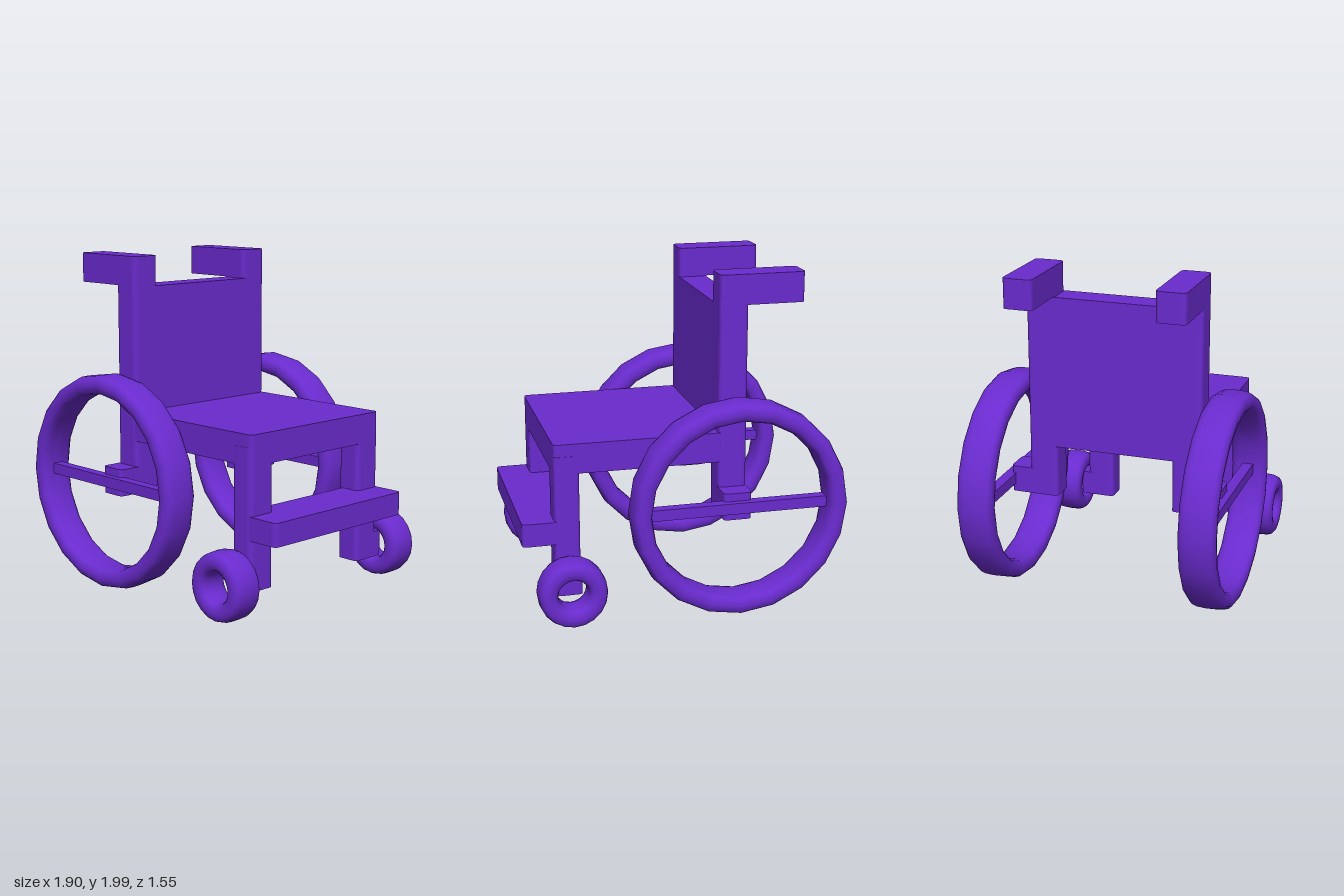
import * as THREE from 'three';

const purple = new THREE.MeshStandardMaterial({ color: 0x6a2bce });
purple.name = 'purple';

// Block given by its limits, with rounded upright edges
function block(name, [x0, x1], [y0, y1], [z0, z1], r = 0.03) {
  const s = new THREE.Shape();
  const a = -z1, b = -z0;
  s.moveTo(x0 + r, a);
  s.lineTo(x1 - r, a);
  s.quadraticCurveTo(x1, a, x1, a + r);
  s.lineTo(x1, b - r);
  s.quadraticCurveTo(x1, b, x1 - r, b);
  s.lineTo(x0 + r, b);
  s.quadraticCurveTo(x0, b, x0, b - r);
  s.lineTo(x0, a + r);
  s.quadraticCurveTo(x0, a, x0 + r, a);
  const g = new THREE.ExtrudeGeometry(s, { depth: y1 - y0, bevelEnabled: false, curveSegments: 4 });
  g.rotateX(-Math.PI / 2);
  g.translate(0, y0, 0);
  const mesh = new THREE.Mesh(g, purple);
  mesh.name = name;
  return mesh;
}

// Ring with a soft, squarish section, turned about the z axis
function ring(name, outer, inner, width, x, y, z) {
  const mid = (outer + inner) / 2, half = (outer - inner) / 2;
  const soft = (v) => Math.sign(v) * Math.pow(Math.abs(v), 0.68);
  const pts = [];
  for (let i = 0; i <= 16; i++) {
    const t = Math.PI + (i / 16) * Math.PI * 2;
    pts.push(new THREE.Vector2(mid + half * soft(Math.cos(t)), (width / 2) * soft(Math.sin(t))));
  }
  const g = new THREE.LatheGeometry(pts, 20);
  g.rotateX(Math.PI / 2);
  const mesh = new THREE.Mesh(g, purple);
  mesh.name = name;
  mesh.position.set(x, y, z);
  return mesh;
}

export function createModel() {
  const model = new THREE.Group();
  model.name = 'wheelchair';

  // Seat, backrest and footrest
  model.add(block('seat', [-0.3, 0.76], [0.895, 1.073], [-0.535, 0.535]));
  model.add(block('backrest', [-0.385, -0.215], [0.895, 1.82], [-0.45, 0.45]));
  model.add(block('footrest', [0.64, 0.95], [0.472, 0.61], [-0.535, 0.535]));

  for (const s of [1, -1]) {
    const span = (a, b) => (s > 0 ? [a, b] : [-b, -a]);
    const side = s > 0 ? 'front' : 'back';

    // Frame posts and push handles
    model.add(block(side + 'BackPost', [-0.385, -0.215], [0.575, 1.9], span(0.36, 0.537)));
    model.add(block(side + 'Handle', [-0.72, -0.215], [1.823, 2], span(0.36, 0.537)));
    model.add(block(side + 'Leg', [0.61, 0.76], [0.173, 1], span(0.36, 0.537)));

    // Large wheel with its hub and crossbar
    model.add(block(side + 'WheelHub', [-0.385, -0.215], [0.575, 0.738], span(0.48, 0.66)));
    model.add(ring(side + 'Wheel', 0.65, 0.53, 0.22, -0.3, 0.66, s * 0.667));
    const bar = new THREE.Mesh(new THREE.BoxGeometry(1.1, 0.066, 0.066), purple);
    bar.name = side + 'WheelBar';
    bar.position.set(-0.3, 0.657, s * 0.667);
    model.add(bar);

    // Small caster wheel and its axle
    model.add(block(side + 'CasterAxle', [0.61, 0.76], [0.173, 0.33], span(0.48, 0.59)));
    model.add(ring(side + 'Caster', 0.203, 0.087, 0.195, 0.69, 0.23, s * 0.665));
  }
  return model;
}
